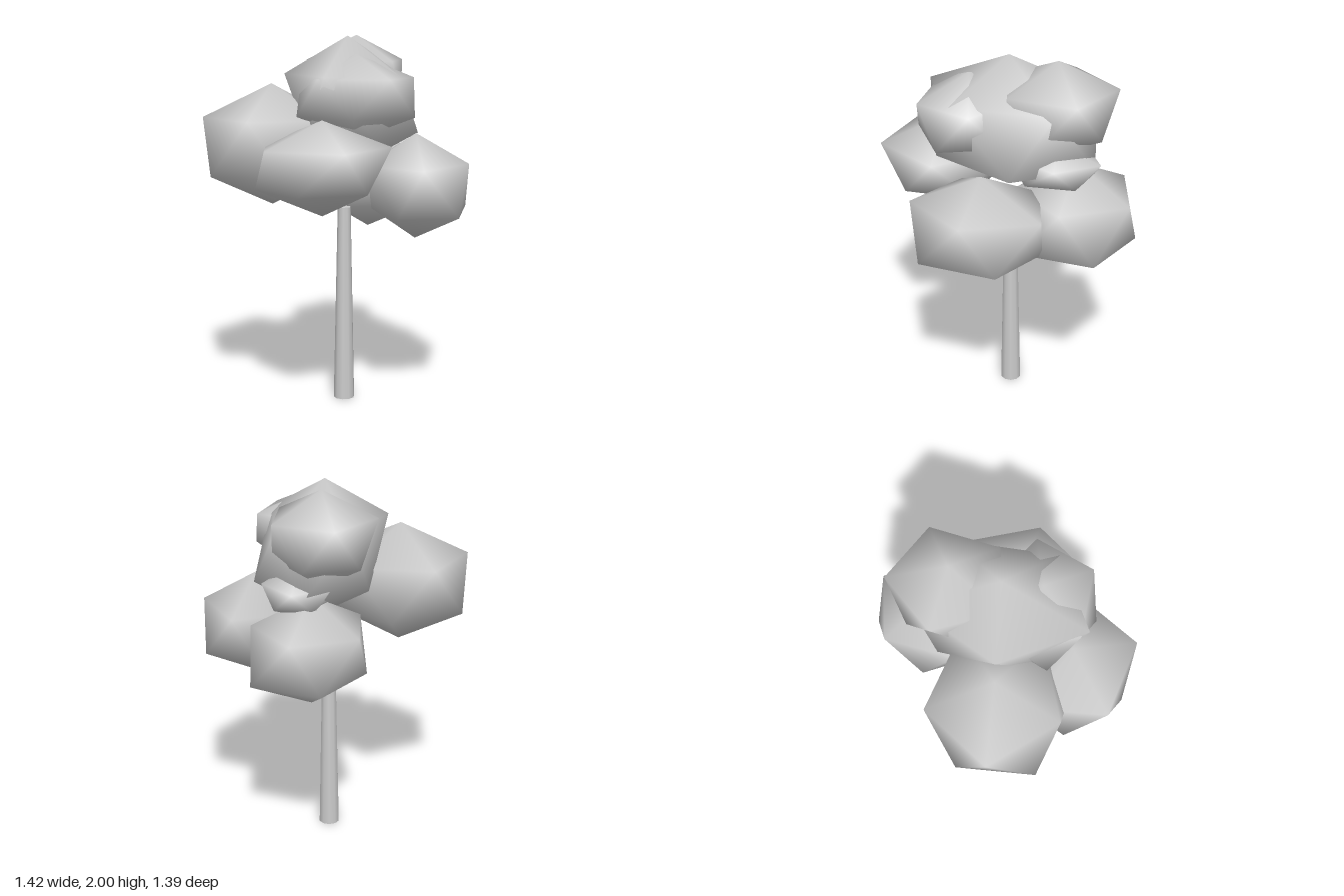
import * as THREE from 'three';

// Smooth-shaded icosahedron with vertical poles; ring radius 1, pole height 1.
// "turn" is the angle in degrees of the first upper ring corner;
// the lower ring is scaled and shifted to make each clump irregular.
function clumpGeometry([rx, ry, rz], turn, [scale, dx, dz]) {
  const points = [0, ry, 0, 0, -ry, 0];
  for (let i = 0; i < 5; i++) {
    const a = THREE.MathUtils.degToRad(turn + i * 72);
    const b = a + Math.PI / 5;
    points.push(rx * Math.cos(a), ry * 0.447, rz * Math.sin(a));
    points.push(scale * rx * Math.cos(b) + dx, -ry * 0.447, scale * rz * Math.sin(b) + dz);
  }
  const index = [];
  for (let i = 0; i < 5; i++) {
    const u = 2 + 2 * i, l = u + 1;
    const u2 = 2 + 2 * ((i + 1) % 5), l2 = u2 + 1;
    index.push(0, u2, u, u, u2, l, l, u2, l2, 1, l, l2);
  }
  const geometry = new THREE.BufferGeometry();
  geometry.setAttribute('position', new THREE.Float32BufferAttribute(points, 3));
  geometry.setIndex(index);
  geometry.computeVertexNormals();
  return geometry;
}

export function createModel() {
  const tree = new THREE.Group();
  tree.name = 'tree';
  const grey = new THREE.MeshStandardMaterial({ color: 0xcccccc });
  grey.name = 'plain grey';

  // Tapered trunk
  const trunk = new THREE.Mesh(new THREE.CylinderGeometry(0.036, 0.058, 1.08, 10), grey);
  trunk.name = 'trunk';
  trunk.position.set(0.042, 0.54, 0);
  tree.add(trunk);

  // Leaf clumps: name, centre, radii, turn, lower ring [scale, dx, dz]
  const clumps = [
    ['crownClump', [0.06, 1.64, 0], [0.335, 0.36, 0.46], 101, [0.95, 0.055, -0.06]],
    ['rightClump', [-0.34, 1.425, 0.07], [0.37, 0.325, 0.35], 172, [0.98, -0.01, 0.04]],
    ['leftClump', [0.43, 1.208, 0.03], [0.285, 0.283, 0.37], -68, [0.95, 0.035, 0.03]],
    ['frontClump', [-0.02, 1.34, 0.39], [0.355, 0.245, 0.34], 63, [0.88, -0.03, 0]],
    ['backClump', [0.13, 1.2, -0.38], [0.305, 0.29, 0.325], -70, [1.05, 0.035, 0.015]],
    ['upperBackClump', [0.075, 1.75, -0.26], [0.285, 0.25, 0.31], -104, [0.88, 0, 0]],
    ['upperFrontClump', [0.13, 1.69, 0.19], [0.31, 0.22, 0.27], 51, [1.03, 0, 0]],
    ['smallBackClump', [0.19, 1.48, -0.29], [0.19, 0.125, 0.24], -80, [0.9, 0, 0.02]],
  ];
  for (const [name, centre, radii, turn, lower] of clumps) {
    const clump = new THREE.Mesh(clumpGeometry(radii, turn, lower), grey);
    clump.name = name;
    clump.position.set(...centre);
    tree.add(clump);
  }
  return tree;
}
